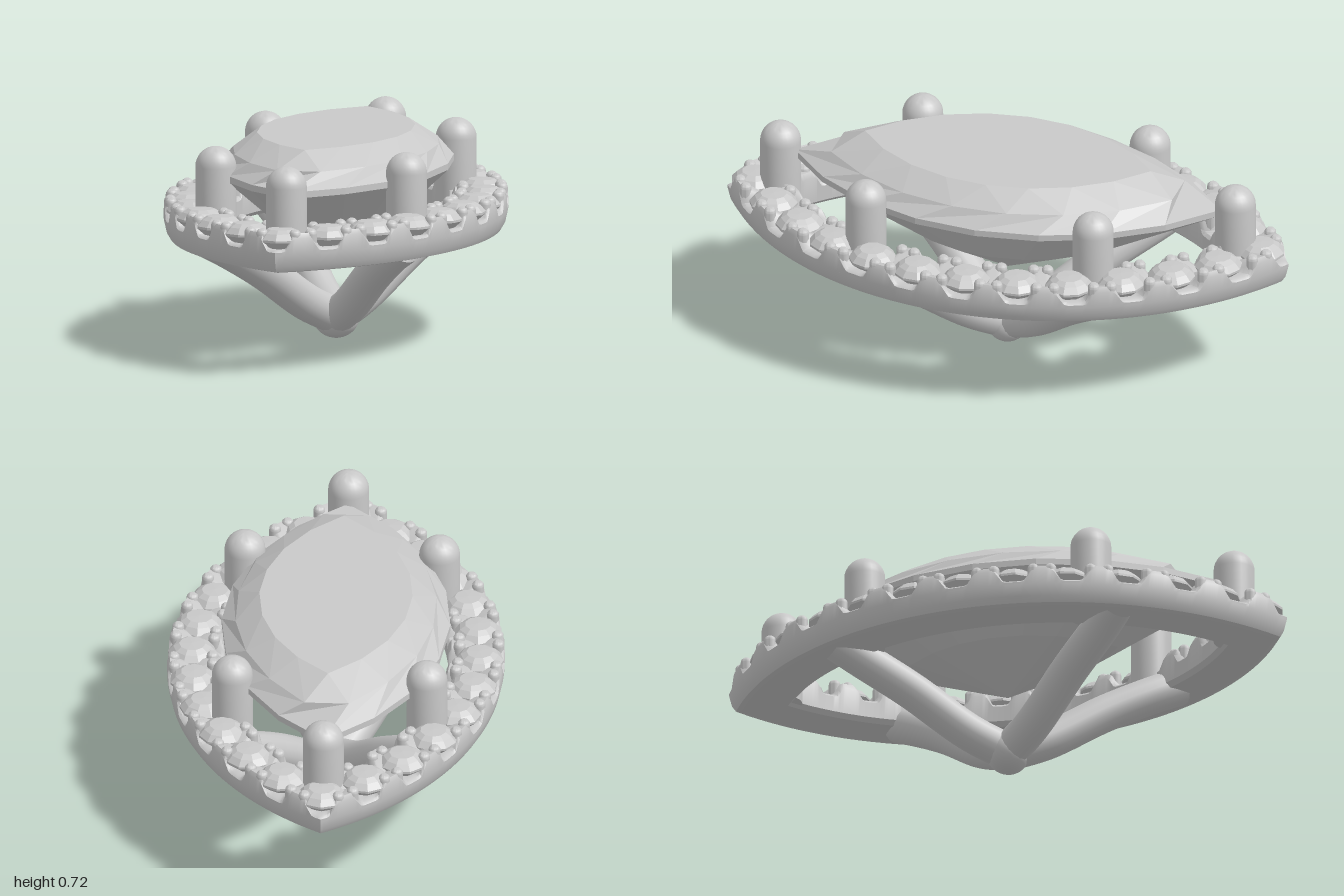
import * as THREE from 'three';
import { toCreasedNormals } from 'three/addons/utils/BufferGeometryUtils.js';

const metal = new THREE.MeshStandardMaterial({ color: 0xc8c8c8 });
metal.name = 'silver grey';

// Point on a marquise made of two arcs of radius r whose centres lie c off the axis.
// t runs 0..2 counter-clockwise seen from above, with the tips at 0 and 1.
const HALO_C = 0.582;
function marquise(t, r, y, c = HALO_C) {
  t = ((t % 2) + 2) % 2;
  const sign = t < 1 ? 1 : -1;
  const a = Math.acos(c / r) * (1 - 2 * (t % 1));
  return new THREE.Vector3(sign * (r * Math.cos(a) - c), y, sign * r * Math.sin(a));
}

// Skin over closed rows of points; wrap joins the last row to the first
function skin(rows, wrap) {
  const n = rows[0].length, m = rows.length, index = [];
  for (let j = 0; j < (wrap ? m : m - 1); j++) {
    for (let i = 0; i < n; i++) {
      const k = (i + 1) % n, l = (j + 1) % m;
      const a = j * n + i, b = j * n + k, c = l * n + i, d = l * n + k;
      index.push(a, b, d, a, d, c);
    }
  }
  const geo = new THREE.BufferGeometry().setFromPoints(rows.flat());
  geo.setIndex(index);
  geo.computeVertexNormals();
  return geo;
}

function facet(geo) {
  const flat = geo.toNonIndexed();
  flat.computeVertexNormals();
  return flat;
}

function add(parent, name, geo, pos) {
  const mesh = new THREE.Mesh(geo, metal);
  mesh.name = name;
  if (pos) mesh.position.copy(pos);
  parent.add(mesh);
  return mesh;
}

const GEMS = 24, STEP = 2 / GEMS, MID_R = 1.072;

// Halo band: cross-section of [radius, height, rise between gems]
function haloGeometry() {
  const section = [
    [0.965, 0.38, 0], [0.98, 0.365, 0], [1.115, 0.365, 0], [1.135, 0.37, 0],
    [1.147, 0.39, 0], [1.156, 0.43, 0], [1.156, 0.44, 0.045], [1.147, 0.447, 0.055],
    [1.125, 0.447, 0.05], [1.072, 0.44, 0.03], [1.01, 0.447, 0.05],
    [0.975, 0.445, 0.05], [0.965, 0.435, 0.04],
  ];
  const N = GEMS * 16;
  const rows = section.map(([r, y, rise]) => Array.from({ length: N }, (_, i) => {
    const between = 0.5 - 0.5 * Math.cos((i / 16) * Math.PI * 2);
    return marquise((i / N) * 2, r, y + rise * THREE.MathUtils.smoothstep(between, 0.2, 0.85));
  }));
  return toCreasedNormals(skin(rows, true), 0.7);
}

// Faceted marquise centre stone, listed from the culet up to the table
function stoneGeometry() {
  const C = 0.545, R = 0.935, N = 16;
  const ring = (scale, y, shift) => Array.from({ length: N }, (_, i) => {
    const p = marquise((i + shift) * 2 / N, R, 0, C).multiplyScalar(scale);
    p.y = y;
    return p;
  });
  return facet(skin([
    ring(0, 0.28, 0), ring(0.52, 0.415, 0), ring(1, 0.59, 0), ring(1, 0.612, 0),
    ring(0.88, 0.664, 0.5), ring(0.67, 0.722, 0), ring(0, 0.722, 0),
  ], false));
}

// Upright post with a round top, standing on y = 0
function postGeometry(radius, height, sides) {
  const profile = [new THREE.Vector2(0, 0), new THREE.Vector2(radius, 0)];
  for (let i = 0; i <= 8; i++) {
    const a = (i / 8) * Math.PI / 2;
    profile.push(new THREE.Vector2(radius * Math.cos(a), height - radius + radius * Math.sin(a)));
  }
  return toCreasedNormals(new THREE.LatheGeometry(profile, sides), 0.7);
}

export function createModel() {
  const model = new THREE.Group();
  model.name = 'marquiseSetting';
  add(model, 'haloBand', haloGeometry());
  add(model, 'centreStone', stoneGeometry());

  // Small brilliants set around the halo, with paired bead prongs between them
  const gems = new THREE.Group(), beads = new THREE.Group();
  gems.name = 'haloGems';
  beads.name = 'haloBeads';
  model.add(gems, beads);
  const gemGeo = facet(new THREE.LatheGeometry(
    [[0, 0.4], [0.083, 0.47], [0.083, 0.478], [0.065, 0.498], [0.045, 0.51], [0, 0.512]]
      .map(([x, y]) => new THREE.Vector2(x, y)), 10));
  const beadGeo = postGeometry(0.021, 0.09, 10);
  for (let i = 0; i < GEMS; i++) {
    const p = marquise(i * STEP, MID_R, 0);
    add(gems, 'haloGem', gemGeo, p).rotation.y = Math.atan2(p.x, p.z);
    for (const r of [MID_R - 0.07, MID_R + 0.062]) {
      for (const side of [-1, 1]) {
        const t = (i + 0.5 + side * 0.15) * STEP;
        add(beads, 'beadProng', beadGeo, marquise(t, r, 0.425));
      }
    }
  }

  // Six claws holding the centre stone
  const clawGeo = postGeometry(0.07, 0.335, 28);
  const claws = [[0, 0.81], [0, -0.81]];
  for (const sx of [-1, 1]) for (const sz of [-1, 1]) claws.push([sx * 0.332, sz * 0.405]);
  for (const [x, z] of claws) add(model, 'claw', clawGeo, new THREE.Vector3(x, 0.375, z));

  // Four curved struts meeting in a rounded foot
  for (const sx of [-1, 1]) {
    for (const sz of [-1, 1]) {
      const path = new THREE.CatmullRomCurve3([
        [0, 0.075, 0], [0.075, 0.135, 0.115], [0.19, 0.265, 0.285], [0.29, 0.36, 0.43], [0.35, 0.405, 0.5],
      ].map(([x, y, z]) => new THREE.Vector3(sx * x, y, sz * z)));
      add(model, 'strut', new THREE.TubeGeometry(path, 24, 0.064, 16));
    }
  }
  const foot = add(model, 'foot', new THREE.SphereGeometry(0.075, 28, 18), new THREE.Vector3(0, 0.075, 0));
  foot.scale.set(1.08, 1, 1);
  return model;
}
